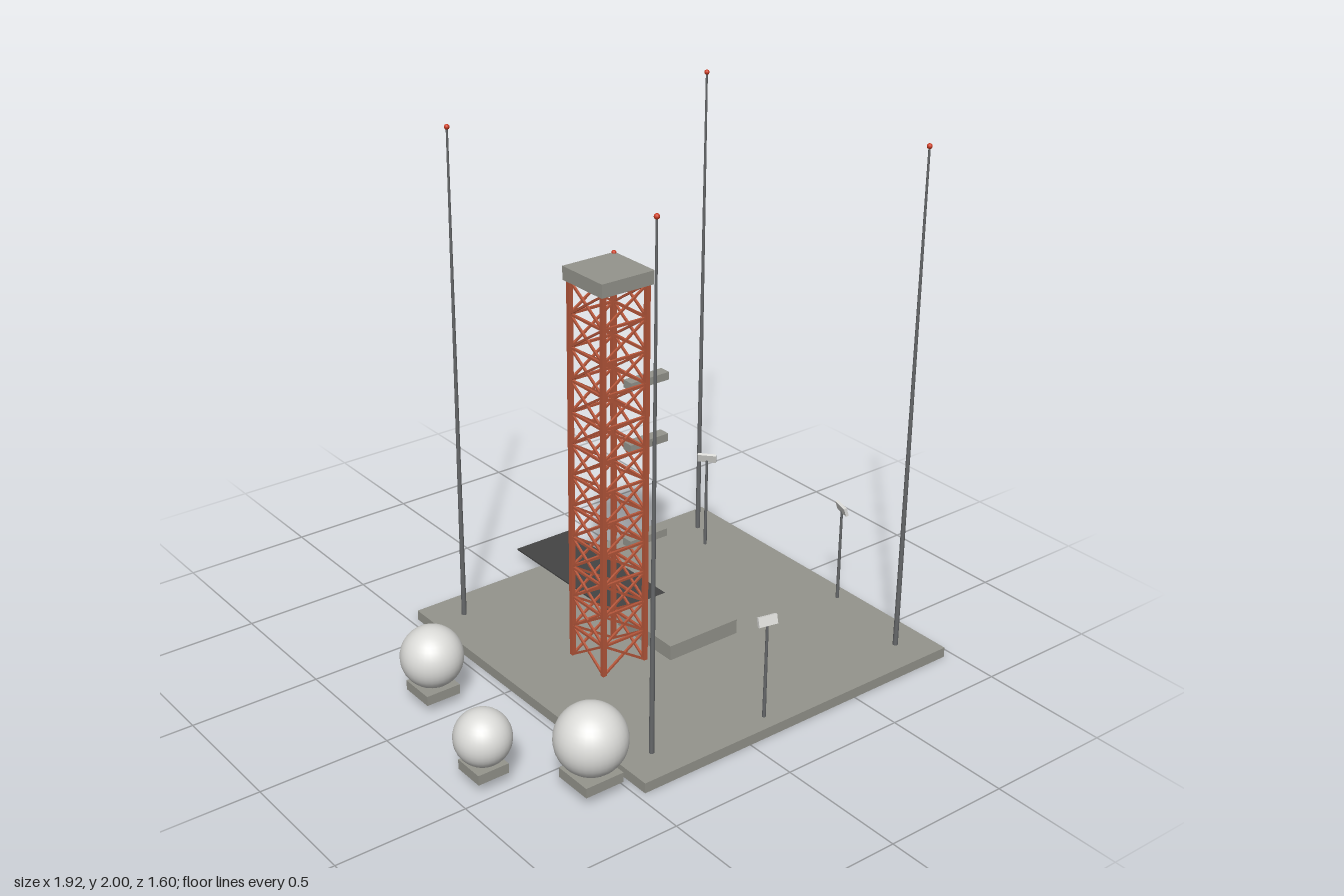
import * as THREE from 'three';

const V = (x, y, z) => new THREE.Vector3(x, y, z);
const mat = (name, color) => {
  const m = new THREE.MeshStandardMaterial({ color });
  m.name = name;
  return m;
};

export function createModel() {
  const concrete = mat('concrete', 0x95958d);
  const steel = mat('tower steel', 0xb5563a);
  const darkMetal = mat('dark metal', 0x66686a);
  const asphalt = mat('asphalt', 0x444444);
  const white = mat('tank white', 0xdcdcd9);
  const red = mat('beacon red', 0xcc3a20);

  const root = new THREE.Group();
  root.name = 'launchPad';
  const GROUND = 0.04, CX = 0.245, CZ = 0.08;

  const add = (parent, name, geometry, material, x, y, z) => {
    const mesh = new THREE.Mesh(geometry, material);
    mesh.name = name;
    mesh.position.set(x, y, z);
    parent.add(mesh);
    return mesh;
  };
  const box = (parent, name, w, h, d, material, x, y, z) =>
    add(parent, name, new THREE.BoxGeometry(w, h, d), material, x, y, z);
  const group = (name, parent = root) => {
    const g = new THREE.Group();
    g.name = name;
    parent.add(g);
    return g;
  };
  // Square bar running between two points
  const strut = (parent, name, a, b, t) => {
    const mid = a.clone().add(b).multiplyScalar(0.5);
    const m = box(parent, name, t, t, a.distanceTo(b), steel, mid.x, mid.y, mid.z);
    m.lookAt(b);
  };

  // Ground slab, raised pad and access road
  box(root, 'groundSlab', 1.43, GROUND, 1.43, concrete, CX, GROUND / 2, CZ);
  box(root, 'raisedPad', 0.322, 0.06, 0.322, concrete, CX, 0.07, CZ);
  box(root, 'accessRoad', 0.258, 0.006, 0.73, asphalt, CX, 0.043, -0.435);

  // Lattice tower: four legs, then a ring and crossed braces per bay
  const tower = group('tower');
  const TX = -0.082, half = 0.095, top = 1.536, bays = 12, step = (top - GROUND) / bays;
  const corners = [[-1, -1], [1, -1], [1, 1], [-1, 1]].map(([x, z]) => [TX + x * half, CZ + z * half]);
  corners.forEach(([x, z], i) => {
    const [nx, nz] = corners[(i + 1) % 4];
    box(tower, 'towerLeg', 0.017, top - GROUND, 0.017, steel, x, (top + GROUND) / 2, z);
    for (let k = 0; k < bays; k++) {
      const y0 = GROUND + k * step, y1 = y0 + step;
      strut(tower, 'towerRing', V(x, y1, z), V(nx, y1, nz), 0.009);
      strut(tower, 'towerBrace', V(x, y0, z), V(nx, y1, nz), 0.008);
      strut(tower, 'towerBrace', V(x, y1, z), V(nx, y0, nz), 0.008);
    }
  });
  box(tower, 'towerCap', 0.225, 0.051, 0.225, concrete, TX, 1.561, CZ);
  for (const y of [0.493, 0.882, 1.125])
    box(tower, 'serviceArm', 0.17, 0.03, 0.044, concrete, 0.087, y, CZ);
  for (const y of [0.425, 1.013, 1.588])
    add(tower, 'towerBeacon', new THREE.SphereGeometry(0.009, 12, 8), red, 0.022, y, -0.025);

  // Tapered lightning masts at the slab corners
  for (const sx of [-1, 1]) for (const sz of [-1, 1]) {
    const mast = group('lightningMast');
    mast.position.set(CX + sx * 0.585, 0, CZ + sz * 0.585);
    add(mast, 'mastPole', new THREE.CylinderGeometry(0.004, 0.01, 1.95, 10), darkMetal, 0, GROUND + 0.975, 0);
    add(mast, 'mastBeacon', new THREE.SphereGeometry(0.01, 12, 8), red, 0, 1.99, 0);
  }

  // Spherical storage tanks on square footings
  for (const [x, z, r] of [[-0.73, -0.116, 0.116], [-0.861, 0.404, 0.103], [-0.6, 0.665, 0.13]]) {
    const tank = group('storageTank');
    tank.position.set(x, 0, z);
    box(tank, 'tankFooting', r * 1.2, 0.038, r * 1.2, concrete, 0, 0.059, 0);
    add(tank, 'tankSphere', new THREE.SphereGeometry(r, 32, 20), white, 0, 0.074 + r, 0);
  }

  // Floodlights aimed down at the raised pad
  for (const [x, z] of [[0.115, 0.732], [0.763, -0.376], [0.896, 0.276]]) {
    const light = group('floodlight');
    light.position.set(x, 0, z);
    light.rotation.y = Math.atan2(CX - x, CZ - z);
    add(light, 'floodlightPole', new THREE.CylinderGeometry(0.005, 0.007, 0.385, 8), darkMetal, 0, 0.2325, 0);
    const head = box(light, 'floodlightHead', 0.075, 0.036, 0.012, white, 0, 0.434, 0);
    head.rotation.x = 0.3;
  }
  return root;
}
